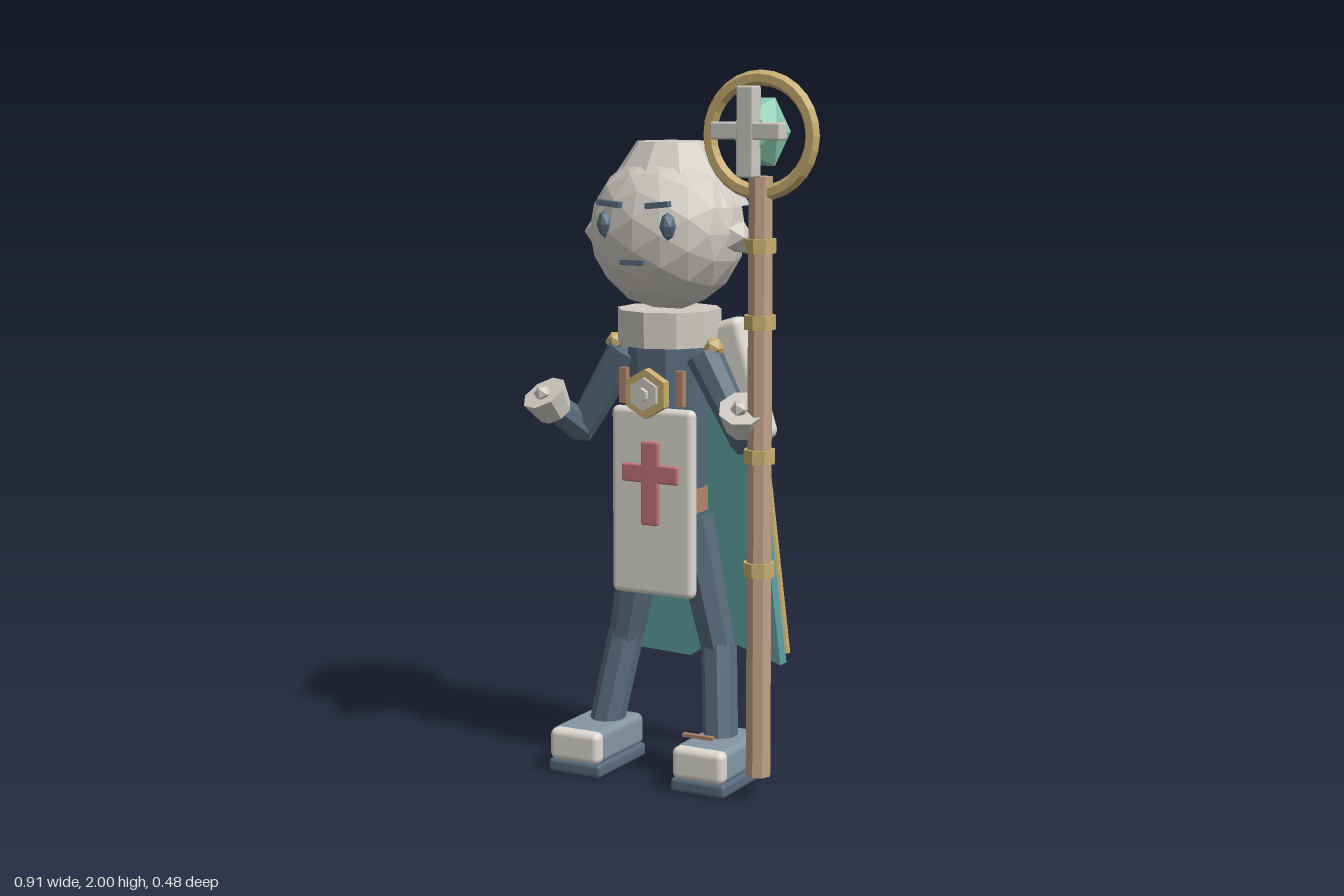
import * as THREE from 'three';
import { RoundedBoxGeometry } from 'three/addons/geometries/RoundedBoxGeometry.js';

export function createModel() {
  const model = new THREE.Group();
  model.name = 'staffBearer';
  const mat = (name, color) => Object.assign(new THREE.MeshStandardMaterial({ color }), { name });
  const stone = mat('stone grey', 0xcfcbc4);
  const linen = mat('linen white', 0xdedad2);
  const navy = mat('dark slate blue', 0x576a7b);
  const slate = mat('boot slate', 0x8496a3);
  const teal = mat('cape teal', 0x5a9c9c);
  const gold = mat('gold', 0xc8ad70);
  const wood = mat('staff wood', 0xc0a286);
  const leather = mat('belt leather', 0xb0866c);
  const red = mat('cross red', 0xc4737b);
  const mint = mat('crystal mint', 0x8accb4);

  const CX = -0.075; // the body's own centre line
  const UP = new THREE.Vector3(0, 1, 0);

  const flat = (geo) => {
    const g = geo.index ? geo.toNonIndexed() : geo;
    g.computeVertexNormals();
    return g;
  };
  const add = (name, geo, material, x, y, z, parent = model) => {
    const mesh = new THREE.Mesh(geo, material);
    mesh.name = name;
    mesh.position.set(x, y, z);
    parent.add(mesh);
    return mesh;
  };
  const box = (w, h, d) => flat(new THREE.BoxGeometry(w, h, d));
  const rounded = (w, h, d, r) => new RoundedBoxGeometry(w, h, d, 2, r);
  const cyl = (rt, rb, h, n) => flat(new THREE.CylinderGeometry(rt, rb, h, n));
  const ball = (r, detail = 0) => flat(new THREE.IcosahedronGeometry(r, detail));
  // Tapered prism from point a to point b
  const limb = (name, a, b, ra, rb, material, n = 8, parent = model) => {
    const A = new THREE.Vector3(...a), B = new THREE.Vector3(...b);
    const mid = A.clone().add(B).multiplyScalar(0.5);
    const mesh = add(name, cyl(rb, ra, A.distanceTo(B), n), material, mid.x, mid.y, mid.z, parent);
    mesh.quaternion.setFromUnitVectors(UP, B.sub(A).normalize());
    return mesh;
  };
  const cross = (name, w, h, arm, bar, d, drop, material, x, y, z) => {
    const g = new THREE.Group();
    g.name = name;
    g.position.set(x, y, z);
    add('upright', rounded(arm, h, d, 0.006), material, 0, 0, 0, g);
    add('crossbar', rounded(w, bar, d * 0.96, 0.006), material, 0, drop, 0, g);
    model.add(g);
  };

  // Head with a faceted cap
  add('head', ball(0.222, 2), stone, CX, 1.555, 0.01).scale.z = 0.92;
  add('cap', cyl(0.102, 0.22, 0.175, 10), stone, CX, 1.714, -0.02);
  add('mouth', box(0.07, 0.014, 0.015), navy, CX, 1.48, 0.212);
  add('collar', cyl(0.148, 0.148, 0.1, 10), stone, CX, 1.287, 0);

  // Torso and belt
  const torso = add('torso', cyl(0.12, 0.092, 0.6, 8), navy, CX, 0.95, 0);
  torso.scale.z = 0.85;
  torso.rotation.y = Math.PI / 8;
  add('belt', cyl(0.104, 0.104, 0.068, 8), leather, CX, 0.794, -0.01).rotation.y = Math.PI / 8;

  // Tabard with its cross
  add('tabard', rounded(0.26, 0.535, 0.04, 0.018), linen, CX, 0.798, 0.09);
  cross('tabardCross', 0.178, 0.238, 0.056, 0.052, 0.016, 0.028, red, CX, 0.853, 0.113);

  // Hexagonal medallion, point up
  [['medallionRim', 0.07, 0.03, gold], ['medallionFace', 0.047, 0.04, stone], ['medallionStud', 0.02, 0.055, stone]]
    .forEach(([name, r, d, m]) => {
      add(name, cyl(r, r, d, 6), m, CX, 1.11, 0.115 + d / 2).rotation.x = Math.PI / 2;
    });

  // Paired parts, s = side
  for (const s of [-1, 1]) {
    const X = (o) => CX + s * o;
    const side = s > 0 ? 'left' : 'right';
    add(side + 'Ear', ball(0.05), stone, X(0.212), 1.545, 0.01);
    add(side + 'Eye', flat(new THREE.OctahedronGeometry(0.024, 1)), navy, X(0.098), 1.58, 0.188).scale.y = 1.6;
    add(side + 'Brow', box(0.07, 0.016, 0.022), navy, X(0.076), 1.638, 0.203).rotation.z = s * 0.1;
    add(side + 'Strap', box(0.022, 0.1, 0.02), leather, X(0.09), 1.125, 0.1);
    add(side + 'Clasp', ball(0.032), gold, X(0.155), 1.235, 0.03);

    // Arm
    const elbow = [X(0.262), 0.985, 0.045];
    limb(side + 'UpperArm', [X(0.125), 1.215, 0.03], elbow, 0.052, 0.042, navy);
    add(side + 'Elbow', ball(0.046), navy, ...elbow);
    limb(side + 'Forearm', elbow, [X(0.3), 1.05, 0.125], 0.045, 0.04, navy);
    limb(side + 'Hand', [X(0.3), 1.035, 0.125], [X(0.315), 1.095, 0.165], 0.05, 0.067, stone);
    add(side + 'Thumb', ball(0.026), stone, X(0.312), 1.095, 0.175);

    // Leg
    const knee = [X(0.152), 0.37, -0.01];
    limb(side + 'Thigh', [X(0.07), 0.74, 0], knee, 0.066, 0.05, navy);
    limb(side + 'Shin', [X(0.152), 0.38, -0.012], [X(0.188), 0.11, 0.045], 0.052, 0.05, navy);

    // Boot
    add(side + 'Boot', rounded(0.165, 0.095, 0.25, 0.02), slate, X(0.199), 0.088, 0.067);
    add(side + 'ToeCap', rounded(0.162, 0.093, 0.05, 0.02), linen, X(0.199), 0.088, 0.19);
    add(side + 'Sole', rounded(0.172, 0.04, 0.272, 0.012), navy, X(0.199), 0.024, 0.074);
  }
  add('bootLace', box(0.095, 0.01, 0.014), leather, 0.122, 0.17, 0.196);

  // Padded shoulder satchel on the left side
  add('satchel', rounded(0.13, 0.355, 0.078, 0.025), linen, 0.115, 1.133, -0.062).rotation.z = 0.3;

  // Cape with a notched hem and gold edge trim
  const hem = [[-0.24, 1.25], [-0.357, 0.31], [-0.085, 0.3], [0, 0.37], [0.207, 0.305], [0.09, 1.25]];
  const capeShape = new THREE.Shape(hem.map(([x, y]) => new THREE.Vector2(x, y)));
  add('cape', flat(new THREE.ExtrudeGeometry(capeShape, { depth: 0.04, bevelEnabled: false })), teal, 0, 0, -0.185);
  for (const s of [-1, 1]) {
    limb('capeTrim', [CX + s * 0.274, 0.33, -0.194], [CX + s * 0.162, 1.235, -0.194], 0.014, 0.014, gold, 6);
  }

  // Staff with bands, ring, crystal and cross
  const SX = 0.282, SZ = 0.145;
  add('staffPole', cyl(0.034, 0.036, 1.65, 8), wood, SX, 0.895, SZ);
  for (const y of [0.653, 0.965, 1.33, 1.535]) add('staffBand', cyl(0.045, 0.045, 0.038, 8), gold, SX, y, SZ);
  add('staffRing', flat(new THREE.TorusGeometry(0.152, 0.021, 6, 28)), gold, SX, 1.828, SZ);
  add('staffCrystal', ball(0.08), mint, SX, 1.838, SZ).scale.y = 1.32;
  cross('staffCross', 0.206, 0.24, 0.05, 0.046, 0.052, 0.002, stone, SX, 1.84, 0.218);

  return model;
}
